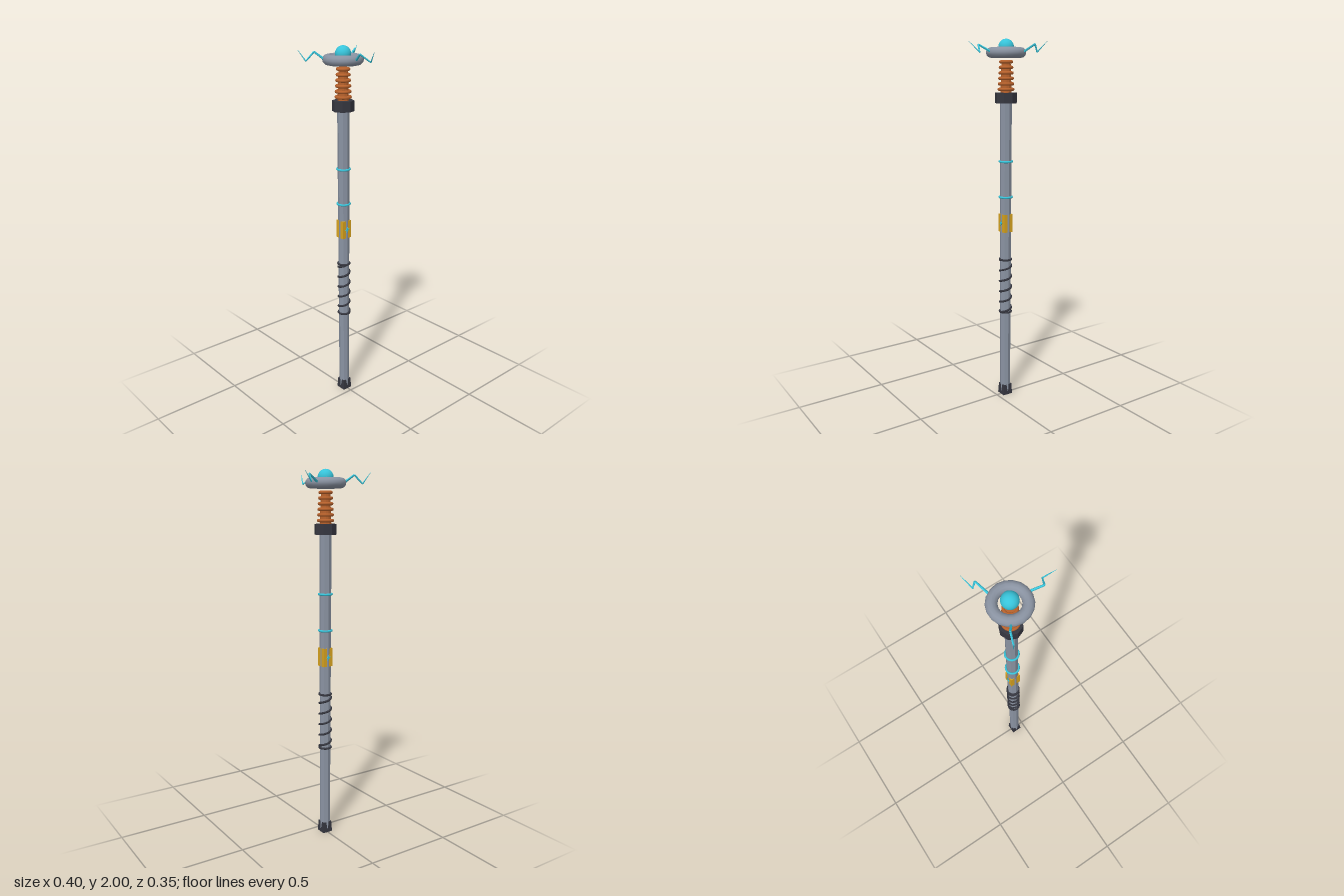
import * as THREE from 'three';

const mat = (name, color, flatShading = false) => {
  const m = new THREE.MeshStandardMaterial({ color, flatShading });
  m.name = name;
  return m;
};

export function createModel() {
  const steel = mat('steel', 0x8a93a2);
  const dark = mat('dark grip', 0x363740);
  const copper = mat('copper', 0xb8622c);
  const cyan = mat('electric cyan', 0x38c4da);
  const gold = mat('gold', 0xdaa520);

  const model = new THREE.Group();
  model.name = 'staff';
  const staff = new THREE.Group();
  staff.name = 'staffBody';
  staff.position.z = -0.058;
  model.add(staff);

  const add = (name, geo, material, y = 0, parent = staff) => {
    const mesh = new THREE.Mesh(geo, material);
    mesh.name = name;
    mesh.position.y = y;
    parent.add(mesh);
    return mesh;
  };
  // Faceted geometry: split the vertices so every face is flat
  const flat = (geo) => {
    const g = geo.toNonIndexed();
    g.computeVertexNormals();
    return g;
  };
  // Prism between two heights
  const prism = (name, rTop, rBottom, y0, y1, sides, material) =>
    add(name, flat(new THREE.CylinderGeometry(rTop, rBottom, y1 - y0, sides)), material, (y0 + y1) / 2);
  // Horizontal ring
  const ring = (name, radius, tube, y, material, around = 24, section = 8) =>
    add(name, new THREE.TorusGeometry(radius, tube, section, around).rotateX(Math.PI / 2), material, y);

  // Shaft and square pommel
  prism('shaft', 0.032, 0.029, 0.02, 1.69, 8, steel);
  const pommel = prism('pommel', 0.0365, 0.0415, 0, 0.06, 4, dark);
  pommel.rotation.y = Math.PI / 4;

  // Spiral grip wrap with end rings
  const wrapPoints = [];
  const turns = 5;
  for (let i = 0; i <= turns * 12; i++) {
    const a = (i / 12) * Math.PI * 2;
    wrapPoints.push(new THREE.Vector3(
      Math.sin(a) * 0.032, 0.505 + 0.307 * i / (turns * 12), Math.cos(a) * 0.032));
  }
  const wrapPath = new THREE.CatmullRomCurve3(wrapPoints);
  add('gripWrap', new THREE.TubeGeometry(wrapPath, 160, 0.006, 6), dark);
  ring('gripRingLower', 0.032, 0.006, 0.505, dark);
  ring('gripRingUpper', 0.032, 0.006, 0.812, dark);

  // Gold block with a thin zigzag emblem on front and back
  add('goldBlock', new THREE.BoxGeometry(0.056, 0.1, 0.056), gold, 1.02);
  const zigzag = new THREE.Shape([
    [0.004, 0.016], [-0.012, -0.003], [-0.002, -0.003], [-0.005, -0.016],
    [0.012, 0.004], [0.002, 0.004],
  ].map(([x, y]) => new THREE.Vector2(x, y)));
  const emblemGeo = new THREE.ExtrudeGeometry(zigzag, { depth: 0.005, bevelEnabled: false });
  for (const side of [0, 1]) {
    const pivot = new THREE.Group();
    pivot.name = side ? 'emblemBack' : 'emblemFront';
    pivot.rotation.y = side * Math.PI;
    staff.add(pivot);
    add('emblem', emblemGeo, cyan, 1.02, pivot).position.z = 0.028;
  }

  // Glowing bands
  ring('lowerBand', 0.034, 0.006, 1.165, cyan);
  ring('upperBand', 0.034, 0.006, 1.36, cyan);

  // Collar and tapering copper coil
  prism('collar', 0.058, 0.058, 1.67, 1.725, 8, dark);
  prism('coilCore', 0.024, 0.03, 1.72, 1.89, 12, copper);
  for (let i = 0; i < 6; i++) {
    ring('coilTurn', 0.037 - i * 0.0016, 0.0085, 1.742 + i * 0.0282, copper);
  }

  // Floating steel ring and energy orb
  ring('topRing', 0.079, 0.027, 1.93, steel, 18, 12);
  add('orb', new THREE.SphereGeometry(0.041, 24, 16), cyan, 1.959);

  // Jagged arcs made of tapering rods
  const arcs = {
    leftArc: [[0.08, 1.93, -0.107], [0.148, 1.97, -0.134], [0.145, 1.93, -0.15], [0.199, 1.985, -0.174]],
    rightArc: [[-0.08, 1.93, -0.105], [-0.124, 1.97, -0.137], [-0.167, 1.926, -0.15], [-0.199, 1.982, -0.174]],
    frontArc: [[0.003, 1.93, 0.035], [-0.025, 1.968, 0.098], [0.025, 1.928, 0.122], [0, 1.983, 0.173]],
  };
  const radii = [0.0065, 0.0052, 0.0038, 0.0008];
  const up = new THREE.Vector3(0, 1, 0);
  for (const [name, path] of Object.entries(arcs)) {
    const arc = new THREE.Group();
    arc.name = name;
    model.add(arc);
    const p = path.map((c) => new THREE.Vector3(...c));
    for (let i = 0; i < 3; i++) {
      const dir = p[i + 1].clone().sub(p[i]);
      const geo = flat(new THREE.CylinderGeometry(radii[i + 1], radii[i], dir.length(), 5));
      const rod = add('arcSegment', geo, cyan, 0, arc);
      rod.position.copy(p[i]).addScaledVector(dir, 0.5);
      rod.quaternion.setFromUnitVectors(up, dir.normalize());
    }
  }
  return model;
}
